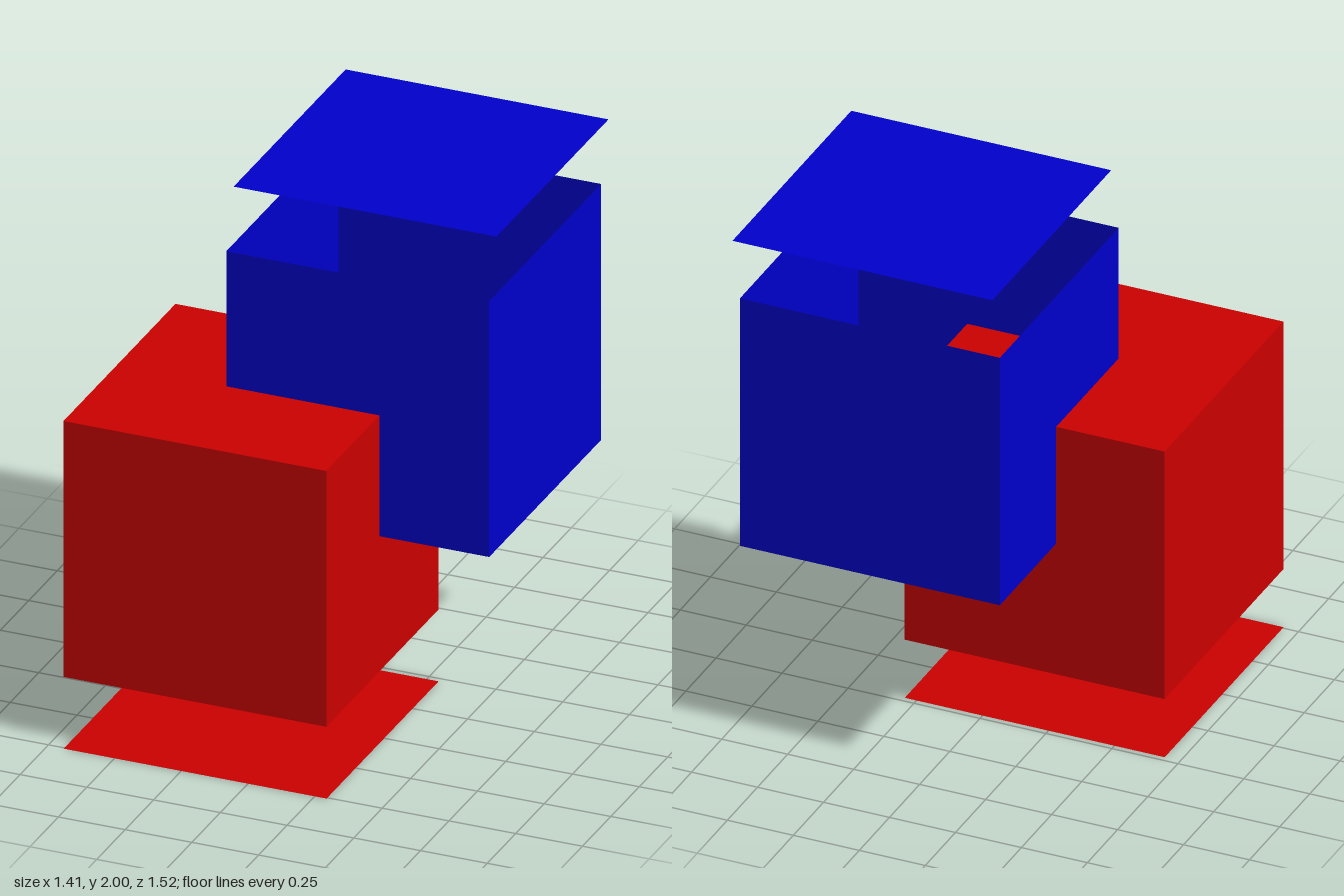
import * as THREE from 'three';

const SIZE = 0.985;
const TOP = 2, BOTTOM = 3; // face order in a box: +x, -x, +y, -y, +z, -z

// Thin-walled cube with one face left off
function openCube(missingFace) {
  const geometry = new THREE.BoxGeometry(SIZE, SIZE, SIZE);
  const index = Array.from(geometry.index.array);
  index.splice(missingFace * 6, 6);
  geometry.setIndex(index);
  geometry.clearGroups();
  return geometry;
}

// Open cube plus the square panel floating off its open side
function cubeWithPanel(name, color, missingFace, cubeCentre, panelCentre) {
  const group = new THREE.Group();
  group.name = name;
  const material = new THREE.MeshStandardMaterial({ color, side: THREE.DoubleSide });

  const cube = new THREE.Mesh(openCube(missingFace), material);
  cube.name = name + 'Shell';
  cube.position.set(...cubeCentre);

  const square = new THREE.PlaneGeometry(SIZE, SIZE);
  square.rotateX(missingFace === TOP ? -Math.PI / 2 : Math.PI / 2);
  const panel = new THREE.Mesh(square, material);
  panel.name = name + 'Panel';
  panel.position.set(...panelCentre);

  group.add(cube, panel);
  return group;
}

export function createModel() {
  const model = new THREE.Group();
  model.name = 'interlockedOpenCubes';
  model.add(
    // Lower cube, open below
    cubeWithPanel('redCube', 0xcc0000, BOTTOM, [-0.215, 0.748, 0.226], [-0.198, 0, 0.264]),
    // Upper cube, open above
    cubeWithPanel('blueCube', 0x0000cc, TOP, [0.196, 1.268, -0.241], [0.212, 2, -0.268]),
  );
  return model;
}
